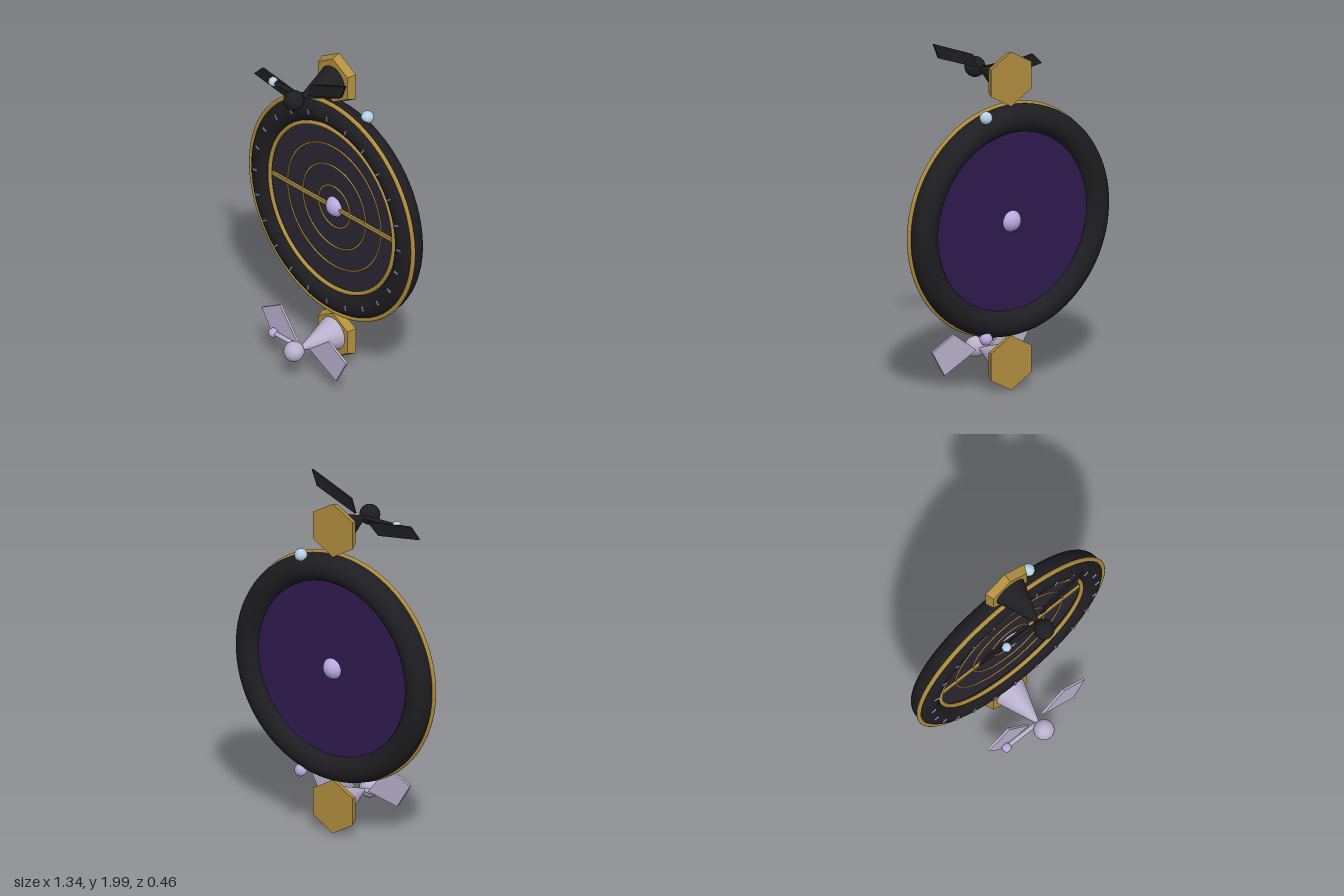
import * as THREE from 'three';

const mat = (color, side = THREE.FrontSide) => new THREE.MeshStandardMaterial({ color, side });

export function createModel() {
  const root = new THREE.Group();
  const gold = mat(0xb08d3e), dark = mat(0x1e1e22), face = mat(0x2a2633), purple = mat(0x2f1a4f);
  const pale = mat(0xb9b0cc), lavender = mat(0xb9a8e0), blue = mat(0xb5d0e5);
  const goldFlat = mat(0xb08d3e);
  goldFlat.flatShading = true;

  function add(parent, name, geometry, material, x = 0, y = 0, z = 0) {
    const mesh = new THREE.Mesh(geometry, material);
    mesh.name = name;
    mesh.position.set(x, y, z);
    parent.add(mesh);
    return mesh;
  }
  const ball = (r) => new THREE.SphereGeometry(r, 28, 18);
  const ring = (r, tube) => new THREE.TorusGeometry(r, tube, 10, 96);

  // Round dial, centred on its own axis along z
  const dial = new THREE.Group();
  dial.name = 'dial';
  dial.position.set(0, 0.983, -0.148);
  root.add(dial);
  add(dial, 'darkRim', new THREE.TorusGeometry(0.585, 0.077, 24, 96), dark);
  add(dial, 'outerGoldRing', ring(0.659, 0.013), gold, 0, 0, 0.037);
  add(dial, 'innerGoldRing', ring(0.505, 0.012), gold, 0, 0, 0.04);
  add(dial, 'frontFace', new THREE.CylinderGeometry(0.52, 0.52, 0.02, 96).rotateX(Math.PI / 2), face, 0, 0, 0.01);
  add(dial, 'backFace', new THREE.CylinderGeometry(0.52, 0.52, 0.02, 96).rotateX(Math.PI / 2), purple, 0, 0, -0.01);
  for (const r of [0.127, 0.255, 0.38]) add(dial, 'orbitRing', ring(r, 0.005), gold, 0, 0, 0.022);
  add(dial, 'crossBar', new THREE.BoxGeometry(1.0, 0.02, 0.016), gold, 0, 0, 0.026);
  add(dial, 'centreGem', ball(0.064), lavender);

  // Hour ticks around the rim
  for (let i = 0; i < 24; i++) {
    const a = (i / 24) * Math.PI * 2;
    const tick = add(dial, 'tick', new THREE.BoxGeometry(0.03, 0.009, 0.012), lavender,
      0.585 * Math.cos(a), 0.585 * Math.sin(a), 0.077);
    tick.rotation.z = a;
  }

  // Flat blade from its four corners, relative to the hub
  function blade(parent, corners, material) {
    const shape = new THREE.Shape(corners.map(([x, y]) => new THREE.Vector2(x, y)));
    const geometry = new THREE.ExtrudeGeometry(shape, { depth: 0.014, bevelEnabled: false });
    add(parent, 'blade', geometry, material, 0, 0, 0.093);
  }

  // Hexagonal mount with cone, knob, side arm and two blades
  function finial(name, y, hexY, body, accent, blades) {
    const group = new THREE.Group();
    group.name = name;
    group.position.y = y;
    root.add(group);
    add(group, 'hexPlate', new THREE.CylinderGeometry(0.138, 0.158, 0.048, 6).rotateX(Math.PI / 2).rotateZ(0),
      goldFlat, 0, hexY - y, -0.139);
    add(group, 'cone', new THREE.CylinderGeometry(0.004, 0.097, 0.25, 32).rotateX(Math.PI / 2), body, 0, 0, 0.01);
    add(group, 'knob', ball(0.058), body, 0, 0, 0.175);
    add(group, 'arm', new THREE.CylinderGeometry(0.013, 0.013, 0.21, 14).rotateZ(Math.PI / 2), body, -0.115, 0, 0.122);
    add(group, 'armTip', ball(0.027), accent, -0.226, 0, 0.124);
    blades.forEach((corners) => blade(group, corners, body));
  }
  finial('upperFinial', 1.79, 1.8, dark, blue, [
    [[0.04, 0.02], [0.305, 0.122], [0.34, 0.21], [0.07, 0.102]],
    [[-0.4, -0.032], [-0.12, -0.073], [-0.045, -0.01], [-0.338, 0.03]],
  ]);
  finial('lowerFinial', 0.174, 0.164, pale, lavender, [
    [[0.05, 0.01], [0.267, -0.1], [0.35, 0.047], [0.203, 0.126]],
    [[-0.338, 0.107], [-0.25, -0.031], [-0.05, 0.012], [-0.19, 0.187]],
  ]);

  // Small balls on the back of the rim
  add(root, 'upperRimBall', ball(0.036), blue, 0.196, 1.62, -0.195);
  add(root, 'lowerRimBall', ball(0.036), lavender, 0.196, 0.345, -0.195);
  return root;
}
